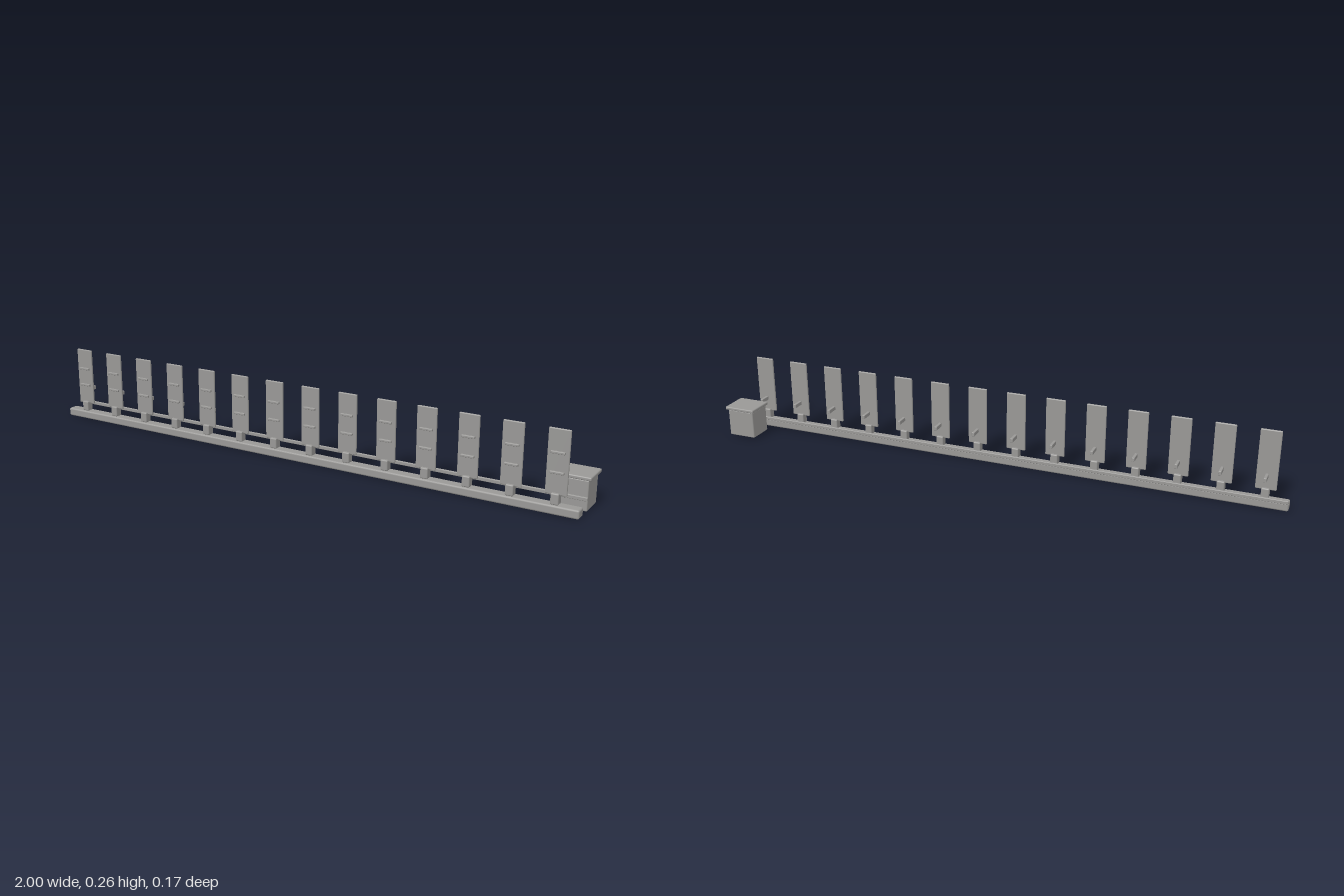
import * as THREE from 'three';
import { RoundedBoxGeometry } from 'three/addons/geometries/RoundedBoxGeometry.js';

const grey = new THREE.MeshStandardMaterial({ color: 0x999896 });
grey.name = 'grey';

// Rounded block given by its extents on each axis
function block(name, [x0, x1], [y0, y1], [z0, z1], radius) {
  const geometry = new RoundedBoxGeometry(x1 - x0, y1 - y0, z1 - z0, 2, radius);
  const mesh = new THREE.Mesh(geometry, grey);
  mesh.name = name;
  mesh.position.set((x0 + x1) / 2, (y0 + y1) / 2, (z0 + z1) / 2);
  return mesh;
}

// One upright panel with its foot, front slats and rear arm
function createPanelUnit() {
  const unit = new THREE.Group();
  unit.name = 'panelUnit';
  unit.add(
    block('foot', [-0.013, 0.013], [0.029, 0.065], [0.052, 0.079], 0.004),
    block('panel', [-0.034, 0.034], [0.058, 0.262], [0.061, 0.069], 0.003),
    block('rearArm', [-0.005, 0.005], [0.1, 0.114], [0.02, 0.062], 0.002)
  );
  for (const y of [0.128, 0.19]) {
    unit.add(block('slat', [-0.022, 0.022], [y - 0.004, y + 0.004], [0.067, 0.076], 0.002));
  }
  return unit;
}

export function createModel() {
  const model = new THREE.Group();
  model.name = 'panelRow';

  // Long base beam and thin rail behind it
  model.add(block('baseBeam', [-1, 0.99], [0, 0.029], [0.045, 0.084], 0.006));
  model.add(block('rearRail', [-1, 0.993], [0.038, 0.05], [0.016, 0.024], 0.002));

  // Row of evenly spaced panels
  const count = 14;
  for (let i = 0; i < count; i++) {
    const unit = createPanelUnit();
    unit.position.x = -0.922 + i * 0.141;
    model.add(unit);
  }

  // Lidded cabinet at the left end
  const cabinet = new THREE.Group();
  cabinet.name = 'cabinet';
  cabinet.add(
    block('cabinetBody', [0.888, 0.99], [0.001, 0.099], [-0.078, 0.011], 0.004),
    block('cabinetLid', [0.882, 0.998], [0.099, 0.111], [-0.084, 0.017], 0.004)
  );
  model.add(cabinet);

  return model;
}
